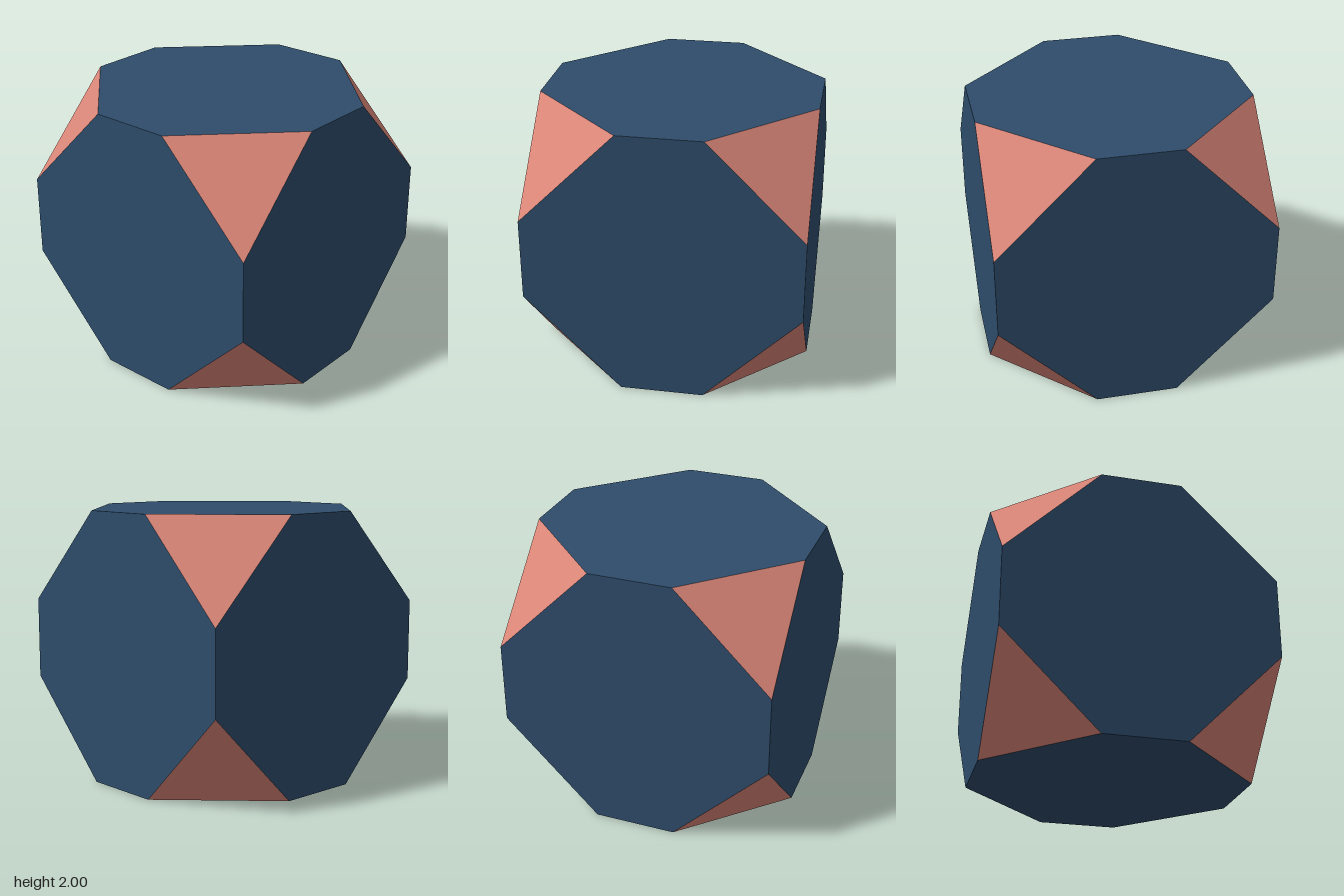
import * as THREE from 'three';

const HALF = 1;   // half the cube's side
const EDGE = 0.3; // half of the cube edge left between two cut corners

export function createModel() {
  const group = new THREE.Group();
  const navy = new THREE.MeshStandardMaterial({ color: 0x2e4c6a });
  navy.name = 'navy blue';
  const salmon = new THREE.MeshStandardMaterial({ color: 0xda8678 });
  salmon.name = 'salmon';

  const add = (name, geometry, material) => {
    const mesh = new THREE.Mesh(geometry, material);
    mesh.name = name;
    mesh.position.y = HALF;
    group.add(mesh);
  };

  // Octagonal sides: one outline, turned to face each of the six directions
  const octagon = new THREE.Shape([
    [HALF, -EDGE], [HALF, EDGE], [EDGE, HALF], [-EDGE, HALF],
    [-HALF, EDGE], [-HALF, -EDGE], [-EDGE, -HALF], [EDGE, -HALF],
  ].map(([x, y]) => new THREE.Vector2(x, y)));
  const q = Math.PI / 2;
  const sides = {
    frontSide: [0, 0], leftSide: [0, q], backSide: [0, 2 * q],
    rightSide: [0, -q], topSide: [-q, 0], bottomSide: [q, 0],
  };
  for (const [name, [rx, ry]] of Object.entries(sides)) {
    const face = new THREE.ShapeGeometry(octagon).translate(0, 0, HALF);
    add(name, face.rotateX(rx).rotateY(ry), navy);
  }

  // Triangular cut corners, wound outward in every octant
  for (const x of [-1, 1]) for (const y of [-1, 1]) for (const z of [-1, 1]) {
    const points = [
      new THREE.Vector3(x * EDGE, y * HALF, z * HALF),
      new THREE.Vector3(x * HALF, y * EDGE, z * HALF),
      new THREE.Vector3(x * HALF, y * HALF, z * EDGE),
    ];
    if (x * y * z < 0) points.reverse();
    const corner = new THREE.BufferGeometry().setFromPoints(points);
    corner.computeVertexNormals();
    const name = (y > 0 ? 'top' : 'bottom') + (z > 0 ? 'Front' : 'Back') + (x > 0 ? 'Left' : 'Right') + 'Corner';
    add(name, corner, salmon);
  }
  return group;
}
